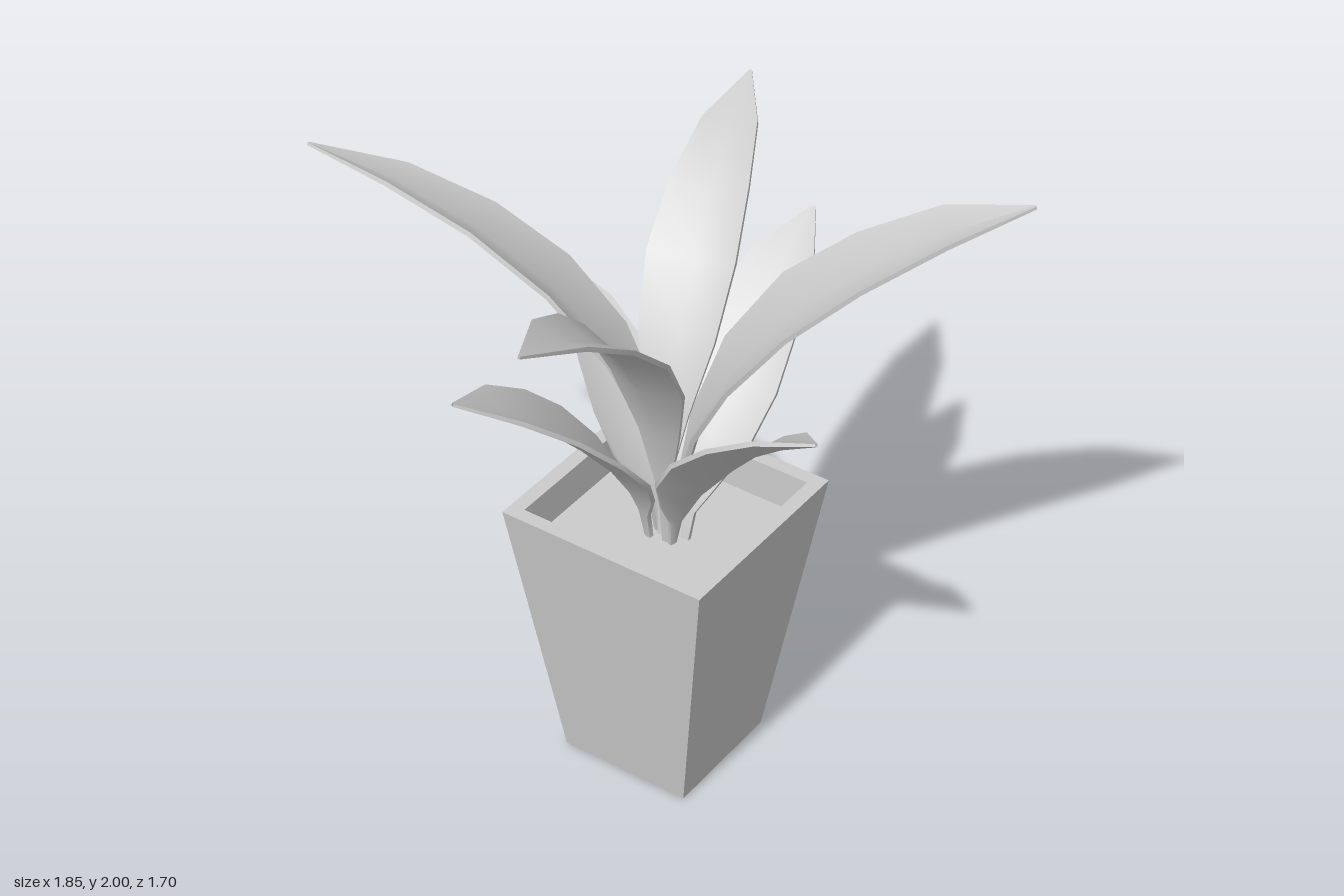
import * as THREE from 'three';
import { toCreasedNormals } from 'three/addons/utils/BufferGeometryUtils.js';

const SOIL = 0.77;
const UP = new THREE.Vector3(0, 1, 0);

// Shared leaf shape: distance outwards, half width, and three rise curves
const OUT = [0, 0.025, 0.07, 0.17, 0.33, 0.53, 0.76, 1];
const HALF = [0.012, 0.02, 0.07, 0.13, 0.152, 0.134, 0.094, 0.004];
const ARCHED = [0, 0.17, 0.37, 0.56, 0.73, 0.86, 0.95, 1];
const STEADY = [0, 0.16, 0.34, 0.52, 0.69, 0.82, 0.93, 1];
const LOW = [0, 0.12, 0.24, 0.4, 0.57, 0.74, 0.89, 1];

// Folded blade with a little thickness, lofted from six-point sections
function leafGeometry(root, tip, rise, width, roll) {
  const dir = new THREE.Vector3(tip.x - root.x, 0, tip.z - root.z);
  const height = tip.y - root.y;
  const spine = OUT.map((u, i) => root.clone().addScaledVector(dir, u).addScaledVector(UP, rise[i] * height));
  const level = new THREE.Vector3(-dir.z, 0, dir.x).normalize();
  const positions = [], index = [];
  const last = spine.length - 1;
  spine.forEach((p, i) => {
    const tangent = spine[Math.min(i + 1, last)].clone().sub(spine[Math.max(i - 1, 0)]).normalize();
    const side = level.clone().applyAxisAngle(tangent, -roll * Math.min(1, OUT[i] * 5));
    const normal = side.clone().cross(tangent);
    const w = HALF[i] * width, fold = w * 0.25;
    const t = i === last ? 0.004 : 0.007;
    const section = [[-w, t], [0, t - fold], [w, t], [w, -t], [0, -t - fold], [-w, -t]];
    for (const [a, b] of section) {
      const v = p.clone().addScaledVector(side, a).addScaledVector(normal, b + fold * 0.5);
      positions.push(v.x, v.y, v.z);
    }
  });
  for (let i = 0; i < last; i++) {
    for (let j = 0; j < 6; j++) {
      const a = i * 6 + j, b = i * 6 + (j + 1) % 6;
      index.push(a, b, a + 6, b, b + 6, a + 6);
    }
  }
  const geometry = new THREE.BufferGeometry();
  geometry.setAttribute('position', new THREE.Float32BufferAttribute(positions, 3));
  geometry.setIndex(index);
  return toCreasedNormals(geometry, 0.8);
}

export function createModel() {
  const model = new THREE.Group();

  // Square tapered pot with a rim, straight inner walls and a recessed soil surface
  const profile = [[0, 0], [0.21, 0], [0.335, 0.895], [0.29, 0.895], [0.29, SOIL], [0, SOIL]]
    .map(([r, y]) => new THREE.Vector2(r * Math.SQRT2, y));
  const pot = new THREE.Mesh(
    new THREE.LatheGeometry(profile, 4, Math.PI / 4),
    new THREE.MeshStandardMaterial({ color: 0xcccccc, flatShading: true })
  );
  pot.name = 'pot';
  pot.scale.z = 0.975;
  pot.position.set(0.095, 0, -0.075);
  model.add(pot);

  // Leaves: root x and z, tip position, rise curve, width factor, sideways roll
  const leaves = [
    ['leftTallLeaf', [0.11, -0.085], [-0.93, 1.83, 0.19], ARCHED, 1.05, -0.3],
    ['rightTallLeaf', [0.12, -0.06], [0.92, 1.91, -0.58], STEADY, 1.07, 0],
    ['frontTallLeaf', [0.12, -0.04], [0.29, 2.0, 0.85], STEADY, 0.88, 0.18],
    ['backTallLeaf', [0.09, -0.06], [-0.16, 1.82, -0.85], ARCHED, 0.87, 0.1],
    ['rightLowLeaf', [0.14, -0.04], [0.7, 1.46, 0.12], LOW, 0.95, 0.25],
    ['frontLowLeaf', [0.065, -0.03], [-0.14, 1.51, 0.58], LOW, 1.03, 0.05],
    ['backLowLeaf', [0.16, -0.08], [0.12, 1.51, -0.77], LOW, 1, -0.1],
    ['leftLowLeaf', [0.07, -0.07], [-0.4, 1.38, -0.28], LOW, 0.8, -0.1],
  ];
  const leafMaterial = new THREE.MeshStandardMaterial({ color: 0xcccccc, side: THREE.DoubleSide });
  const plant = new THREE.Group();
  plant.name = 'plant';
  for (const [name, [x, z], tip, rise, width, roll] of leaves) {
    const root = new THREE.Vector3(x, SOIL, z);
    const leaf = new THREE.Mesh(leafGeometry(root, new THREE.Vector3(...tip), rise, width, roll), leafMaterial);
    leaf.name = name;
    plant.add(leaf);
  }
  model.add(plant);
  return model;
}
